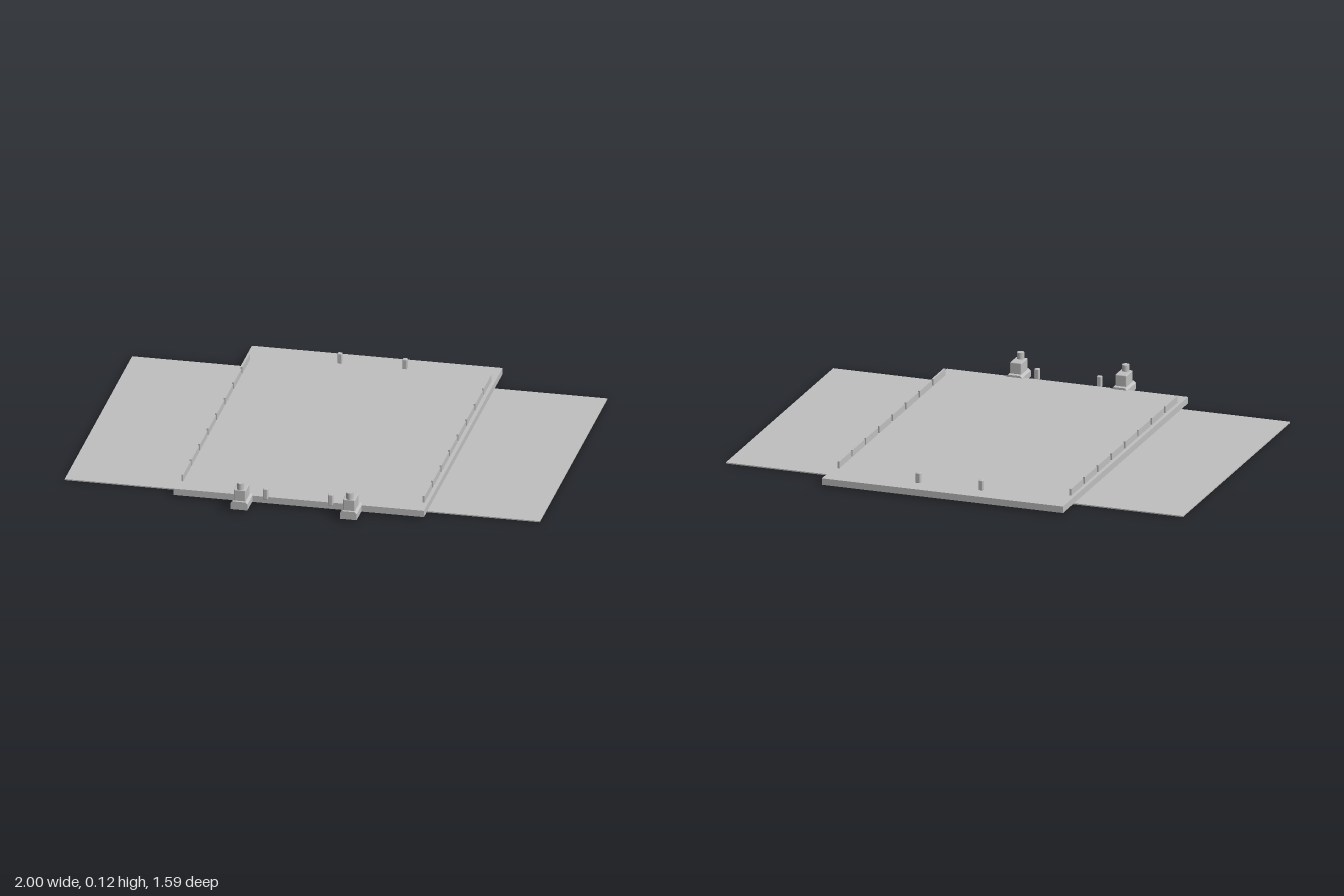
import * as THREE from 'three';
import { RoundedBoxGeometry } from 'three/addons/geometries/RoundedBoxGeometry.js';

export function createModel() {
  const model = new THREE.Group();
  model.name = 'platform';
  const grey = new THREE.MeshStandardMaterial({ color: 0xc0c0c0 });
  grey.name = 'grey';

  const add = (parent, name, geometry, x, y, z) => {
    const mesh = new THREE.Mesh(geometry, grey);
    mesh.name = name;
    mesh.position.set(x, y, z);
    parent.add(mesh);
    return mesh;
  };
  // box given by its centre x, and its y and z ranges
  const box = (parent, name, x, width, y0, y1, z0, z1) =>
    add(parent, name, new THREE.BoxGeometry(width, y1 - y0, z1 - z0), x, (y0 + y1) / 2, (z0 + z1) / 2);

  // thin ground sheet and the raised deck on it
  box(model, 'groundSheet', 0, 2, 0, 0.005, -0.655, 0.631);
  box(model, 'deck', 0, 1.055, 0.008, 0.036, -0.797, 0.7);

  // chamfered foot: a rectangle that narrows towards the top
  const footShape = new THREE.Shape([
    [-0.035, 0.01], [0.035, 0.01], [0.035, 0.036], [0.026, 0.045], [-0.026, 0.045], [-0.035, 0.036],
  ].map(([x, y]) => new THREE.Vector2(x, y)));
  const footGeometry = new THREE.ExtrudeGeometry(footShape, { depth: 0.107, bevelEnabled: false });

  for (const side of [-1, 1]) {
    // row of low kerb panels along each edge
    const kerb = new THREE.Group();
    kerb.name = side > 0 ? 'leftKerb' : 'rightKerb';
    model.add(kerb);
    for (let i = 0; i < 8; i++) {
      const z = -0.653 + i * 0.161;
      box(kerb, 'kerbPanel', side * 0.508, 0.008, 0.036, 0.065, z, z + 0.144);
    }

    // small pegs at the back and front
    for (const [z, bottom] of [[-0.708, 0.034], [0.71, 0.03]]) {
      const height = 0.079 - bottom;
      add(model, 'peg', new RoundedBoxGeometry(0.02, height, 0.02, 2, 0.004),
        side * 0.137, bottom + height / 2, z);
    }

    // mooring block on the front edge: foot, body and knob
    const mooring = new THREE.Group();
    mooring.name = side > 0 ? 'leftMooring' : 'rightMooring';
    mooring.position.x = side * 0.23;
    model.add(mooring);
    add(mooring, 'foot', footGeometry, 0, 0, 0.688);
    add(mooring, 'body', new RoundedBoxGeometry(0.05, 0.055, 0.076, 2, 0.004), 0, 0.066, 0.746);
    add(mooring, 'knob', new THREE.CylinderGeometry(0.015, 0.015, 0.03, 16), 0, 0.106, 0.768);
  }
  return model;
}
